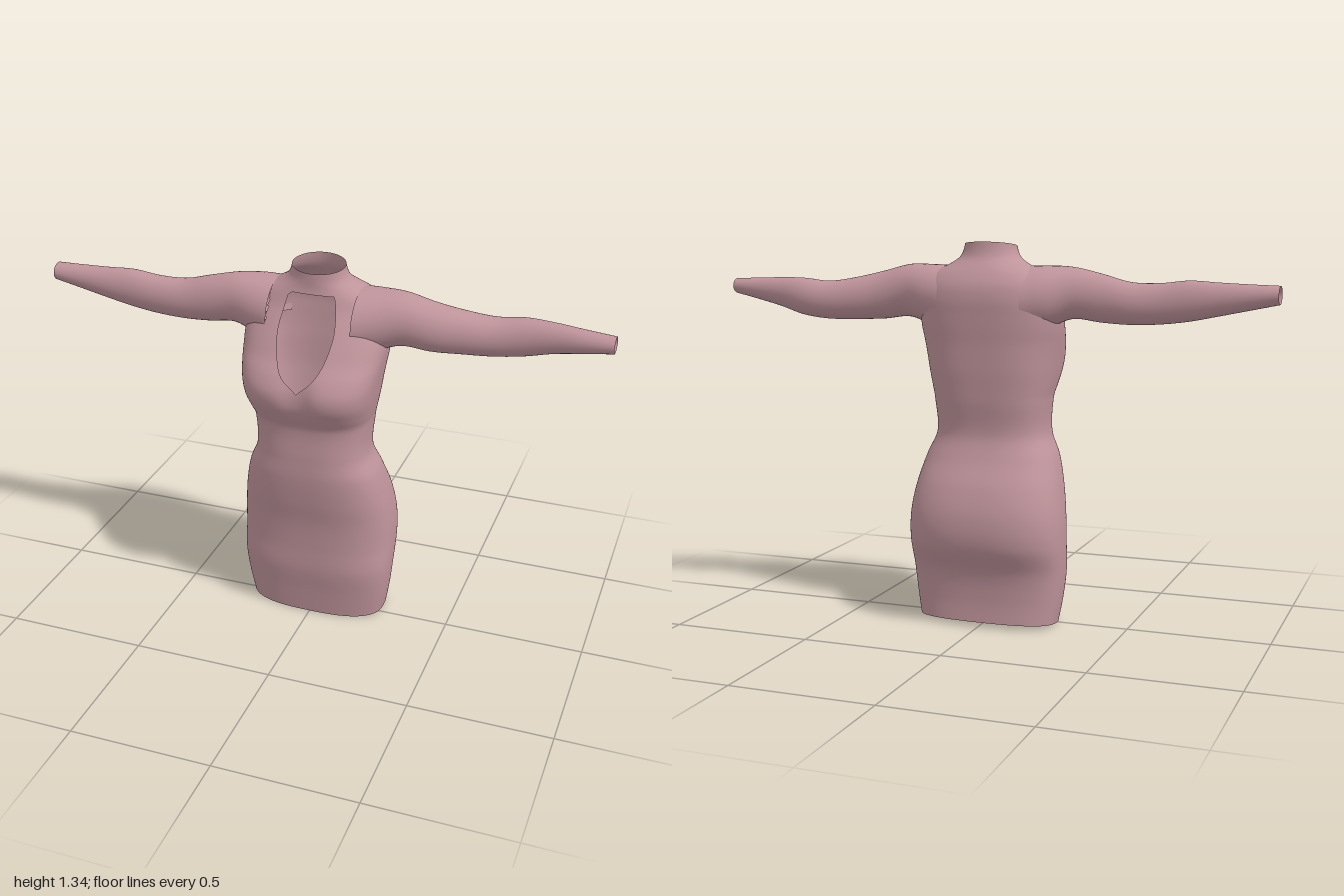
import * as THREE from 'three';
import { mergeVertices } from 'three/addons/utils/BufferGeometryUtils.js';

// Smooth interpolation of table rows; the first column is the key.
function sample(rows, k) {
  let i = 0;
  while (i < rows.length - 2 && k > rows[i + 1][0]) i++;
  const at = (j) => rows[Math.min(Math.max(j, 0), rows.length - 1)];
  const [p, a, b, q] = [at(i - 1), at(i), at(i + 1), at(i + 2)];
  const h = b[0] - a[0];
  const t = Math.min(Math.max((k - a[0]) / h, 0), 1);
  return a.map((v, c) => {
    const m0 = (b[c] - p[c]) / (b[0] - p[0]) * h;
    const m1 = (q[c] - v) / (q[0] - a[0]) * h;
    const t2 = t * t, t3 = t2 * t;
    return v * (2 * t3 - 3 * t2 + 1) + m0 * (t3 - 2 * t2 + t) + b[c] * (3 * t2 - 2 * t3) + m1 * (t3 - t2);
  });
}

// Cuts a polygon, keeping the side where f > 0.
function clip(poly, f) {
  const out = [];
  poly.forEach((a, i) => {
    const b = poly[(i + 1) % poly.length];
    const fa = f(a), fb = f(b);
    if (fa > 0) out.push(a);
    if ((fa > 0) !== (fb > 0)) out.push(a.clone().lerp(b, fa / (fa - fb)));
  });
  return out;
}

// Grid surface from point(u, v), trimmed by each cut function.
function surface(point, nu, nv, cuts) {
  const pos = [];
  const p = (i, j) => point((i % nu) / nu, j / nv);
  for (let j = 0; j < nv; j++) for (let i = 0; i < nu; i++) {
    const [a, b, c, d] = [p(i, j), p(i + 1, j), p(i + 1, j + 1), p(i, j + 1)];
    for (const tri of [[a, b, c], [a, c, d]]) {
      const poly = cuts.reduce((q, f) => (q.length ? clip(q, f) : q), tri);
      for (let n = 1; n < poly.length - 1; n++)
        for (const v of [poly[0], poly[n], poly[n + 1]]) pos.push(v.x, v.y, v.z);
    }
  }
  const g = new THREE.BufferGeometry();
  g.setAttribute('position', new THREE.Float32BufferAttribute(pos, 3));
  const merged = mergeVertices(g, 1e-5);
  merged.computeVertexNormals();
  return merged;
}

// Body: height, half width, front z, back z, squareness
const BODY = [
  [0, 0.25, 0.085, -0.16, 2.7], [0.1, 0.267, 0.1, -0.16, 2.7], [0.2, 0.277, 0.117, -0.176, 2.7],
  [0.3, 0.28, 0.122, -0.223, 2.6], [0.4, 0.276, 0.132, -0.23, 2.6], [0.5, 0.261, 0.152, -0.205, 2.6],
  [0.6, 0.235, 0.166, -0.157, 2.6], [0.68, 0.203, 0.168, -0.133, 2.6], [0.8, 0.207, 0.171, -0.147, 2.7],
  [0.85, 0.217, 0.2, -0.152, 2.8], [0.9, 0.227, 0.227, -0.157, 2.9], [0.95, 0.235, 0.232, -0.16, 2.9],
  [1, 0.243, 0.211, -0.163, 2.8], [1.05, 0.25, 0.173, -0.168, 2.7], [1.1, 0.252, 0.142, -0.172, 2.6],
  [1.15, 0.245, 0.11, -0.175, 2.5], [1.2, 0.228, 0.078, -0.168, 2.4], [1.24, 0.197, 0.062, -0.148, 2.3],
  [1.265, 0.15, 0.056, -0.13, 2.2], [1.29, 0.112, 0.055, -0.111, 2], [1.32, 0.096, 0.055, -0.101, 2],
  [1.36, 0.09, 0.056, -0.096, 2],
];

// Sleeves: distance from centre, top y, bottom y, front z, back z
const LEFT = [
  [0.15, 1.264, 1.03, 0.1, -0.16], [0.22, 1.266, 1.055, 0.078, -0.14], [0.3, 1.265, 1.08, 0.055, -0.115],
  [0.4, 1.24, 1.07, 0.037, -0.11], [0.5, 1.217, 1.067, 0.01, -0.12], [0.6, 1.203, 1.067, -0.012, -0.13],
  [0.7, 1.212, 1.08, -0.022, -0.13], [0.8, 1.212, 1.108, -0.02, -0.11], [0.9, 1.208, 1.13, -0.01, -0.09],
  [1, 1.205, 1.15, 0, -0.07],
];
const RIGHT = [
  [0.15, 1.264, 1.03, 0.1, -0.16], [0.22, 1.266, 1.055, 0.078, -0.14], [0.3, 1.262, 1.085, 0.055, -0.1],
  [0.4, 1.24, 1.075, 0.046, -0.083], [0.5, 1.214, 1.07, 0.04, -0.08], [0.6, 1.212, 1.074, 0.033, -0.073],
  [0.7, 1.222, 1.086, 0.028, -0.07], [0.8, 1.217, 1.106, 0.024, -0.066], [0.9, 1.213, 1.127, 0.018, -0.063],
  [1, 1.21, 1.148, 0.013, -0.06],
];

// Keyhole neckline: height, half width
const KEYHOLE = [[0.95, 0], [1, 0.053], [1.05, 0.081], [1.13, 0.098], [1.2, 0.091], [1.25, 0.08]];

const power = (v, n) => Math.sign(v) * Math.abs(v) ** (2 / n);

function bodyPoint(u, v) {
  const [y, w, f, b, n] = sample(BODY, v * 1.36);
  const a = u * Math.PI * 2;
  const mid = (f + b) / 2;
  const x = w * power(Math.sin(a), n);
  let z = mid + (f - b) / 2 * power(Math.cos(a), n);
  // hollow between the two sides of the bust
  if (Math.cos(a) > 0) z -= 0.022 * Math.exp(-((x / 0.05) ** 2) - ((y - 0.95) / 0.08) ** 2);
  return new THREE.Vector3(x, y, z);
}

function outsideBody(p) {
  const [, w, f, b, n] = sample(BODY, p.y);
  return Math.abs(p.x / w) ** n + Math.abs((p.z - (f + b) / 2) * 2 / (f - b)) ** n - 0.9;
}

function outsideSleeves(p) {
  if (Math.abs(p.x) < 0.15) return 1;
  const [, t, b, f, k] = sample(p.x > 0 ? LEFT : RIGHT, Math.abs(p.x));
  return Math.hypot((p.y - (t + b) / 2) * 2 / (t - b), (p.z - (f + k) / 2) * 2 / (f - k)) - 0.94;
}

function outsideKeyhole(p) {
  if (p.z < 0) return 1;
  const half = sample(KEYHOLE, p.y)[1];
  return Math.max(Math.abs(p.x) - half, p.y - 1.25, 0.95 - p.y);
}

const aboveHem = (p) => p.y - 0.003 - (0.085 - p.z) * 0.07;
const belowCollar = (p) => 1.322 + (0.055 - p.z) * 0.16 - p.y;

export function createModel() {
  const group = new THREE.Group();
  group.name = 'dress';
  const fabric = new THREE.MeshStandardMaterial({ color: 0xbf949b, side: THREE.DoubleSide });
  fabric.name = 'dusty pink fabric';
  const add = (name, geometry) => {
    const mesh = new THREE.Mesh(geometry, fabric);
    mesh.name = name;
    group.add(mesh);
  };

  // Fitted body with open hem, collar and keyhole
  add('dressBody', surface(bodyPoint, 128, 136, [aboveHem, belowCollar, outsideKeyhole, outsideSleeves]));

  // Open-ended sleeves
  for (const [name, rows, side] of [['leftSleeve', LEFT, 1], ['rightSleeve', RIGHT, -1]]) {
    const point = (u, v) => {
      const [x, t, b, f, k] = sample(rows, 0.15 + 0.85 * v);
      const a = u * Math.PI * 2;
      return new THREE.Vector3(side * x,
        (t + b) / 2 + (t - b) / 2 * Math.cos(a),
        (f + k) / 2 + side * (f - k) / 2 * Math.sin(a));
    };
    add(name, surface(point, 40, 60, [outsideBody]));
  }
  return group;
}
